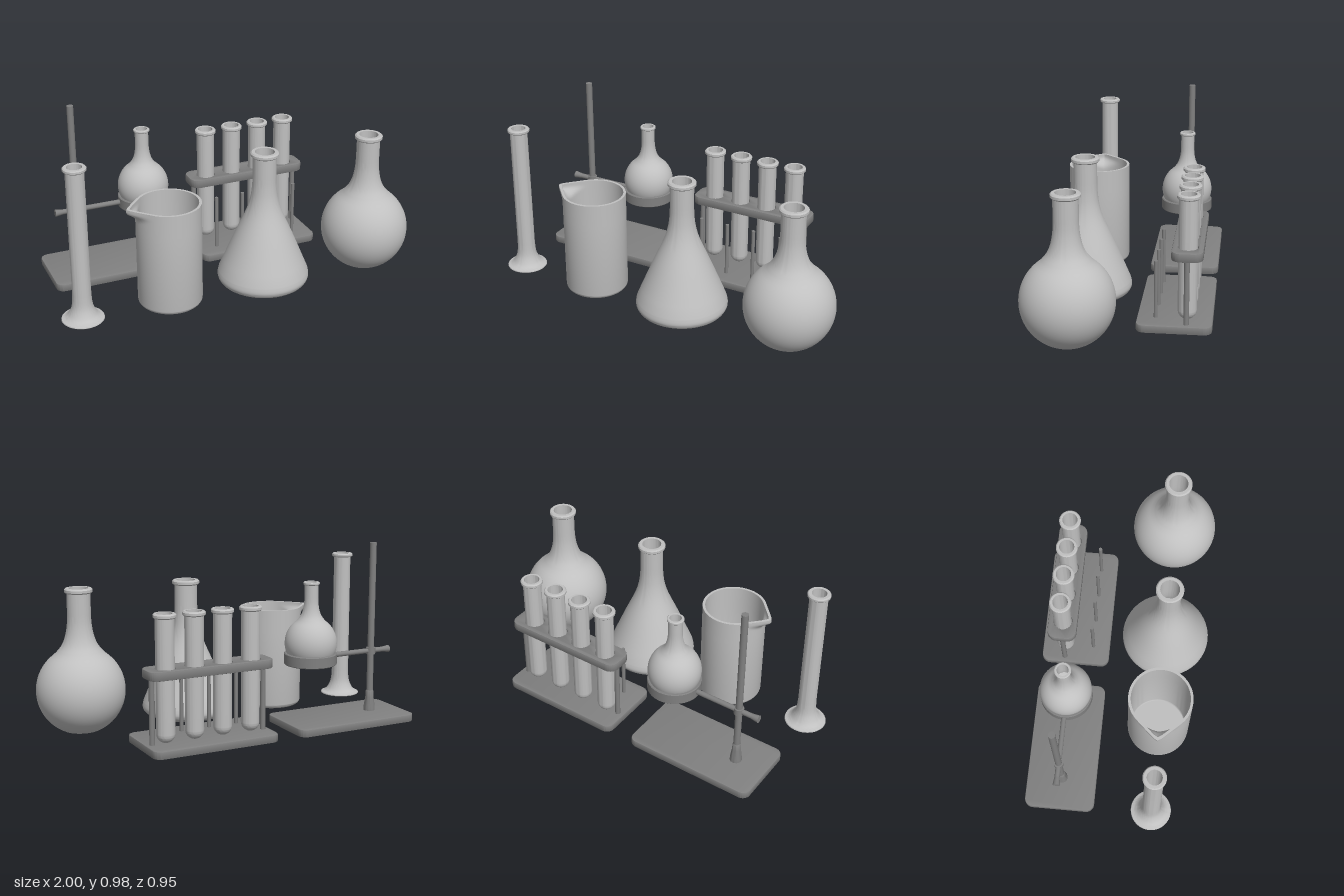
import * as THREE from 'three';
import { toCreasedNormals } from 'three/addons/utils/BufferGeometryUtils.js';

const glass = new THREE.MeshStandardMaterial({ color: 0xc0c0c0 });
glass.name = 'paleGlass';
const metal = new THREE.MeshStandardMaterial({ color: 0x808080 });
metal.name = 'greyMetal';

const FRONT_Z = 0.226, STAND_Z = -0.285, BASE_TOP = 0.045;

function mesh(name, geometry, material, x = 0, y = 0, z = 0) {
  const m = new THREE.Mesh(geometry, material);
  m.name = name;
  m.position.set(x, y, z);
  return m;
}

function lathe(points, segments = 64) {
  const g = new THREE.LatheGeometry(points.map(([x, y]) => new THREE.Vector2(x, y)), segments);
  return toCreasedNormals(g, 0.6);
}

// Smooth run of profile points through a few guides
function smooth(guides, n) {
  return new THREE.SplineCurve(guides.map(([x, y]) => new THREE.Vector2(x, y)))
    .getPoints(n).map(p => [p.x, p.y]);
}

// Circular arc of profile points
function arc(cx, cy, r, from, to, n) {
  return Array.from({ length: n + 1 }, (_, i) => {
    const a = from + (to - from) * i / n;
    return [Math.max(0, cx + r * Math.cos(a)), cy + r * Math.sin(a)];
  });
}

// Hollow vessel: outer wall, rounded lip, then the inner wall back down
function vessel(wall, top, lipRadius, lipHeight, t) {
  const neck = wall[wall.length - 1][0], floor = wall[0][1] + t, b = lipHeight * 0.25;
  const lip = lipRadius > neck ? [
    [neck, top - lipHeight], [lipRadius - b, top - lipHeight], [lipRadius, top - lipHeight + b],
    [lipRadius, top - b], [lipRadius - b, top]] : [[neck, top]];
  const inner = wall.filter(p => p[1] < top - lipHeight)
    .map(([r, y]) => [Math.max(0, r - t), Math.max(y, floor)]).reverse();
  return lathe([...wall, ...lip, [neck - t, top], ...inner]);
}

// Rounded slab lying flat, with optional round holes
function slab(w, d, h, radius, holes = []) {
  const b = 0.006, x = w / 2 - b, y = d / 2 - b, r = radius - b;
  const s = new THREE.Shape();
  s.absarc(x - r, y - r, r, 0, Math.PI / 2);
  s.absarc(-x + r, y - r, r, Math.PI / 2, Math.PI);
  s.absarc(-x + r, -y + r, r, Math.PI, Math.PI * 1.5);
  s.absarc(x - r, -y + r, r, Math.PI * 1.5, Math.PI * 2);
  for (const [hx, hr] of holes) {
    const p = new THREE.Path();
    p.absarc(hx, 0, hr + b, 0, Math.PI * 2, true);
    s.holes.push(p);
  }
  const g = new THREE.ExtrudeGeometry(s, {
    depth: h - 2 * b, bevelThickness: b, bevelSize: b, bevelSegments: 2, curveSegments: 16 });
  g.rotateX(-Math.PI / 2).translate(0, b, 0);
  return toCreasedNormals(g, 0.6);
}

function roundFlaskGeometry() {
  const R = 0.239, cy = 0.22;
  const wall = [[0, 0.003], ...arc(0, cy, R, -1.138, 0.9, 28),
    ...smooth([[0.128, 0.425], [0.097, 0.465], [0.077, 0.515], [0.066, 0.575], [0.063, 0.63]], 14),
    [0.063, 0.744]];
  return vessel(wall, 0.772, 0.075, 0.026, 0.011);
}

function conicalFlaskGeometry() {
  const wall = [[0, 0.008], [0.17, 0.01],
    ...smooth([[0.2, 0.014], [0.233, 0.03], [0.248, 0.057], [0.243, 0.09]], 12),
    ...smooth([[0.218, 0.15], [0.155, 0.3], [0.098, 0.43], [0.074, 0.51], [0.065, 0.58], [0.063, 0.64]], 20),
    [0.063, 0.746]];
  return vessel(wall, 0.774, 0.075, 0.026, 0.011);
}

// Cylinder whose rim is drawn out along tangents into a pouring spout at -x
function beakerGeometry() {
  const R = 0.172, top = 0.583, rows = [];
  for (let i = 0; i <= 12; i++) rows.push([R, 0.46 + 0.115 * i / 12]);
  const wall = [[0, 0.01], ...arc(R - 0.03, 0.04, 0.03, -Math.PI / 2, 0, 8), ...rows];
  const g = vessel(wall, top, 0, 0, 0.014);
  const p = g.attributes.position;
  for (let i = 0; i < p.count; i++) {
    const x = p.getX(i), y = p.getY(i), z = p.getZ(i);
    const open = 0.75 * THREE.MathUtils.smoothstep(y, 0.49, 0.565);
    const away = Math.hypot(Math.atan2(z, -x), 0.04);
    const k = 1 / Math.cos(Math.max(0, open - away));
    p.setXYZ(i, x * k, y, z * k);
  }
  return toCreasedNormals(g, 0.6);
}

function measuringCylinderGeometry() {
  const wall = [[0, 0.012], [0.108, 0.012], [0.112, 0.016], [0.11, 0.021],
    ...smooth([[0.1, 0.025], [0.078, 0.042], [0.06, 0.075], [0.052, 0.11], [0.049, 0.16]], 14),
    [0.048, 0.84]];
  return vessel(wall, 0.863, 0.06, 0.021, 0.009);
}

function testTubeGeometry() {
  const r = 0.049, low = 0.047;
  return vessel([...arc(0, low + r, r, -Math.PI / 2, 0, 12), [r, 0.685]], 0.71, 0.059, 0.024, 0.008);
}

function createRack() {
  const rack = new THREE.Group();
  rack.name = 'testTubeRack';
  const cx = 0.278, z = -0.347, xs = [-0.241, -0.08, 0.08, 0.241];
  rack.position.x = cx;
  rack.add(mesh('rackBase', slab(0.705, 0.387, 0.042, 0.045), metal, 0, 0.003, STAND_Z));
  rack.add(mesh('rackShelf', slab(0.697, 0.16, 0.047, 0.05, xs.map(x => [x, 0.051])), metal, 0, 0.386, z));
  for (const side of [-1, 1]) {
    rack.add(mesh('rackPost', new THREE.CylinderGeometry(0.014, 0.014, 0.35, 24), metal, side * 0.316, 0.215, z));
  }
  const tube = testTubeGeometry();
  const peg = new THREE.CylinderGeometry(0.01, 0.01, 0.31, 20);
  for (const x of xs) {
    rack.add(mesh('testTube', tube, glass, x, 0, z));
    rack.add(mesh('dryingPeg', peg, metal, x, 0.197, -0.187));
  }
  return rack;
}

function createStand(flask) {
  const stand = new THREE.Group();
  stand.name = 'ringStand';
  const rodX = -0.754, ringX = -0.364, armY = 0.384;
  stand.position.z = STAND_Z;
  stand.add(mesh('standBase', slab(0.727, 0.387, 0.042, 0.045), metal, -0.567, 0.003, 0));
  stand.add(mesh('standRod', new THREE.CylinderGeometry(0.018, 0.018, 0.945, 32), metal, rodX, 0.513, 0));
  stand.add(mesh('rodSocket', lathe([[0, BASE_TOP - 0.005], [0.032, BASE_TOP - 0.005], [0.031, 0.065],
    [0.023, 0.12], [0.021, 0.155], [0.018, 0.16], [0, 0.16]], 32), metal, rodX));
  // Arm, clamp screw and ring
  const arm = new THREE.CylinderGeometry(0.014, 0.014, 0.345, 24).rotateZ(Math.PI / 2);
  stand.add(mesh('ringArm', arm, metal, -0.672, armY, 0));
  const knob = new THREE.CylinderGeometry(0.013, 0.02, 0.05, 24).rotateZ(-Math.PI / 2);
  stand.add(mesh('clampKnob', knob, metal, -0.846, armY, 0));
  const collar = new THREE.CylinderGeometry(0.026, 0.026, 0.036, 32);
  stand.add(mesh('clampCollar', collar, metal, rodX, armY, 0));
  stand.add(mesh('supportRing', lathe([[0.126, 0.35], [0.138, 0.35], [0.142, 0.354], [0.142, 0.408],
    [0.138, 0.412], [0.126, 0.412], [0.126, 0.35]]), metal, ringX));
  const small = mesh('heldFlask', flask, glass, ringX, 0.333, 0);
  small.scale.set(0.585, 0.6, 0.585);
  stand.add(small);
  return stand;
}

export function createModel() {
  const model = new THREE.Group();
  model.name = 'laboratoryGlassware';
  const roundFlask = roundFlaskGeometry();
  model.add(
    mesh('measuringCylinder', measuringCylinderGeometry(), glass, -0.888, 0, FRONT_Z),
    mesh('beaker', beakerGeometry(), glass, -0.406, 0, FRONT_Z),
    mesh('conicalFlask', conicalFlaskGeometry(), glass, 0.136, 0, FRONT_Z),
    mesh('roundFlask', roundFlask, glass, 0.76, 0, FRONT_Z),
    createStand(roundFlask),
    createRack());
  return model;
}
